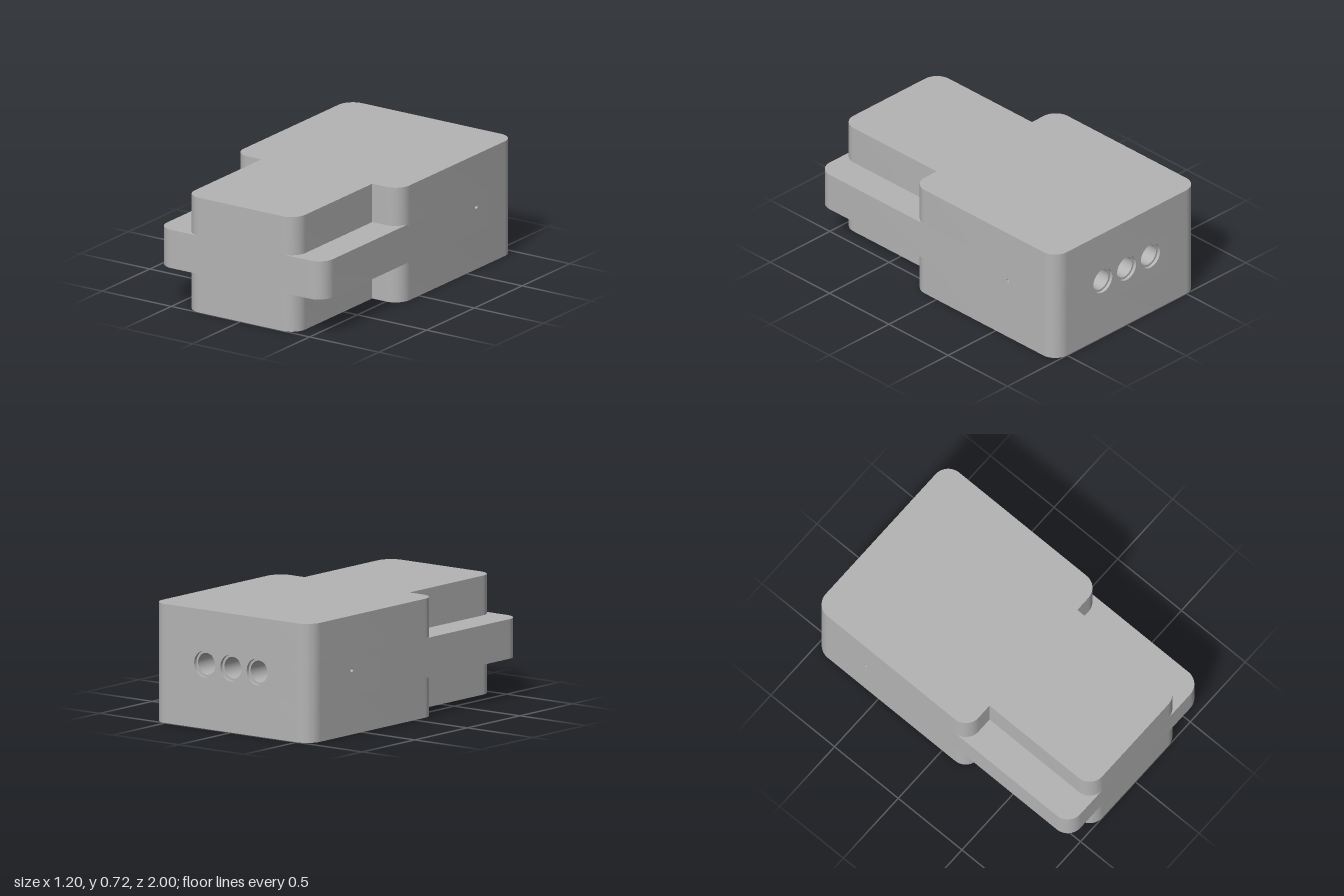
import * as THREE from 'three';
import { toCreasedNormals } from 'three/addons/utils/BufferGeometryUtils.js';

const LAYER = 0.24, R = 0.1, HOLE_Y = 0.39;

// Polygon given as [x, y, cornerRadius], rounded where the radius is set
function roundedShape(points) {
  const shape = new THREE.Shape();
  const n = points.length;
  points.forEach(([x, y, r], i) => {
    const p = new THREE.Vector2(x, y);
    if (r) {
      const toward = ([qx, qy]) => new THREE.Vector2(qx, qy).sub(p).normalize();
      const u = toward(points[(i + n - 1) % n]);
      const v = toward(points[(i + 1) % n]);
      const a = p.clone().addScaledVector(u, r);
      const b = p.clone().addScaledVector(v, r);
      const c = a.clone().addScaledVector(v, r);
      if (i) shape.lineTo(a.x, a.y); else shape.moveTo(a.x, a.y);
      const start = Math.atan2(a.y - c.y, a.x - c.x);
      const end = Math.atan2(b.y - c.y, b.x - c.x);
      shape.absarc(c.x, c.y, r, start, end, u.x * v.y - u.y * v.x > 0);
    } else if (i) shape.lineTo(x, y);
    else shape.moveTo(x, y);
  });
  shape.closePath();
  return shape;
}

function extrude(shape, depth) {
  return toCreasedNormals(
    new THREE.ExtrudeGeometry(shape, { depth, bevelEnabled: false, curveSegments: 16 }), 0.6);
}

// Slab lying flat, its outline drawn in (x, -z)
function slab(points, y) {
  return extrude(roundedShape(points), LAYER).rotateX(-Math.PI / 2).translate(0, y, 0);
}

// Block as high as the middle layer, with round holes through its depth
function drilledBlock(width, depth, xs, radius) {
  const w = width / 2;
  const shape = roundedShape([[-w, LAYER], [w, LAYER], [w, 2 * LAYER], [-w, 2 * LAYER]]);
  for (const x of xs) {
    shape.holes.push(new THREE.Path().absarc(x, HOLE_Y, radius, 0, Math.PI * 2, true));
  }
  return extrude(shape, depth);
}

export function createModel() {
  const group = new THREE.Group();
  const grey = new THREE.MeshStandardMaterial({ color: 0xb4b4b4 });
  grey.name = 'grey';
  const add = (name, geometry) => {
    const mesh = new THREE.Mesh(geometry, grey);
    mesh.name = name;
    group.add(mesh);
  };

  // Top and bottom layers: wide at the back, narrow at the front
  const stepped = [
    [-0.4, -1, R], [0.4, -1, R], [0.4, -0.2, 0], [0.6, -0.2, R],
    [0.6, 1, R], [-0.6, 1, R], [-0.6, -0.2, R], [-0.4, -0.2, 0],
  ];
  add('lowerBody', slab(stepped, 0));
  add('upperBody', slab(stepped, 2 * LAYER));

  // Middle layer: full rectangle whose side rails show, notched for the drilled blocks
  add('middleBody', slab([
    [-0.6, -1, R], [0.6, -1, R],
    [0.6, 0.55, 0], [0.5, 0.55, 0], [0.5, 0.65, 0], [0.6, 0.65, 0],
    [0.6, 1, R],
    [0.3, 1, 0], [0.3, 0.7, 0], [-0.3, 0.7, 0], [-0.3, 1, 0],
    [-0.6, 1, R],
    [-0.6, 0.65, 0], [-0.5, 0.65, 0], [-0.5, 0.55, 0], [-0.6, 0.55, 0],
  ], LAYER));

  // Three counterbored sockets in the back
  const sockets = [-0.2, 0, 0.2];
  add('socketRims', drilledBlock(0.6, 0.02, sockets, 0.08).translate(0, 0, -1));
  add('socketBores', drilledBlock(0.6, 0.28, sockets, 0.066).translate(0, 0, -0.98));

  // Pin hole in each side
  for (const [name, x] of [['leftPinHole', 0.5], ['rightPinHole', -0.6]]) {
    add(name, drilledBlock(0.1, 0.1, [0], 0.012).rotateY(Math.PI / 2).translate(x, 0, -0.6));
  }
  return group;
}
